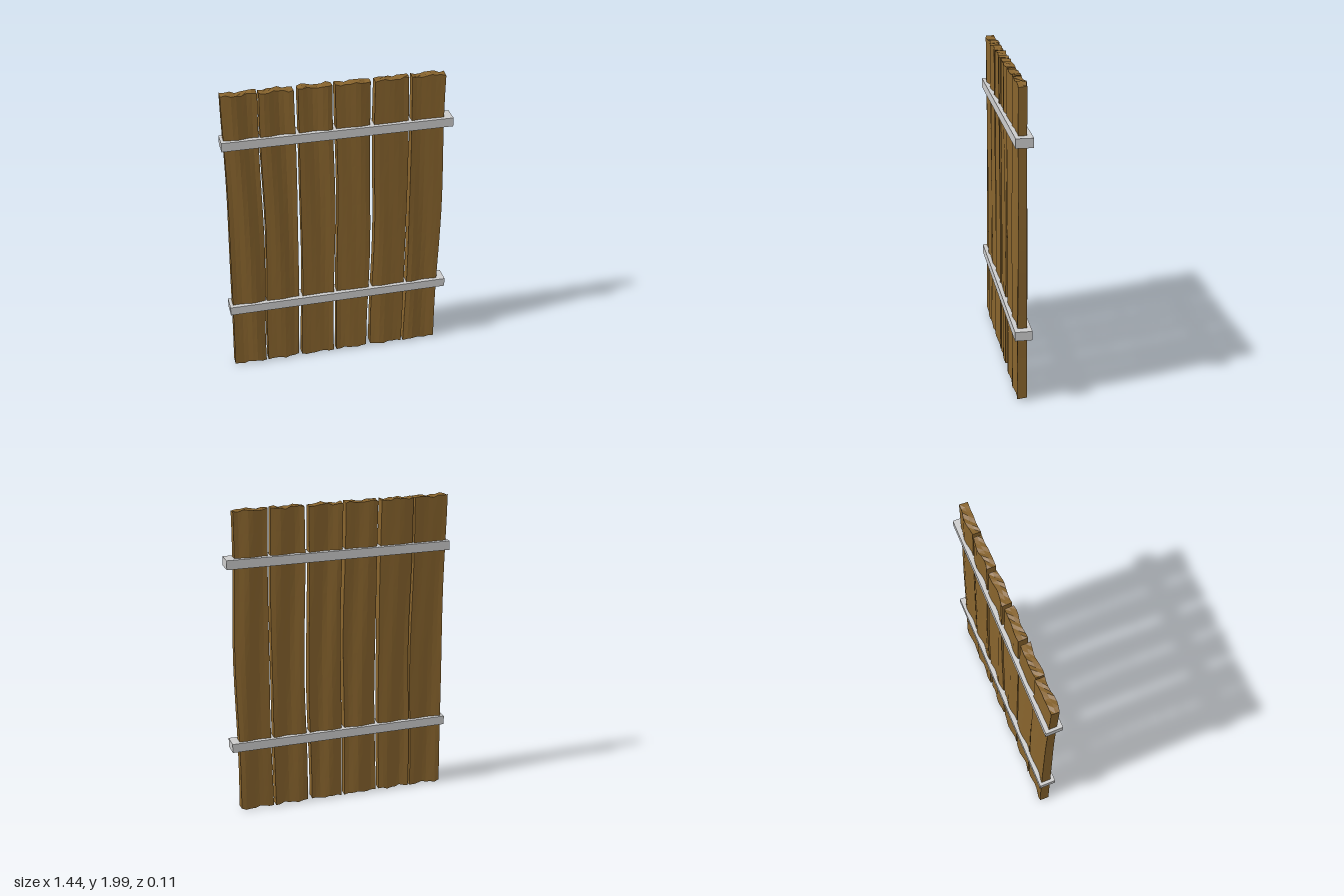
import * as THREE from 'three';

const wood = new THREE.MeshStandardMaterial({ color: 0x88642d, flatShading: true });
const metal = new THREE.MeshStandardMaterial({ color: 0xcccccc, flatShading: true });

// Left and right edge of each plank
const planks = [
  [-0.70, -0.486], [-0.475, -0.266], [-0.243, -0.030],
  [-0.010, 0.201], [0.229, 0.443], [0.460, 0.672],
];

// Rough-hewn plank: a subdivided box with warped sides and chipped ends
function makePlank(x0, x1, seed) {
  const width = x1 - x0, height = 1.968, depth = 0.056;
  const geometry = new THREE.BoxGeometry(width, height, depth, 7, 14, 2);
  const p = geometry.attributes.position;
  for (let i = 0; i < p.count; i++) {
    const x = p.getX(i), y = p.getY(i), z = p.getZ(i);
    const u = (2 * x) / width, v = (2 * y) / height, w = (2 * z) / depth;
    // Gentle bow plus a little waviness along both long edges
    const dx = 0.006 * Math.cos(Math.PI * v) + 0.003 * u * Math.sin(5 * v + seed * 2.3);
    // Uneven faces, varying across the width and slowly along the length
    const dz = 0.004 * Math.sin(3.1 * u + seed * 1.7 + v) + 0.003 * w * Math.sin(4.3 * u + 2 * v + seed);
    // Jagged end grain
    const chip = 0.005 * Math.sin(4.6 * u + seed * 2.9 + v * 2) + 0.004 * Math.sin(9.7 * u + 1.8 * w + seed);
    const dy = Math.abs(v) > 0.99 ? chip : 0;
    p.setXYZ(i, x + dx, y + dy, z + dz);
  }
  geometry.computeVertexNormals();
  const mesh = new THREE.Mesh(geometry, wood);
  mesh.position.set((x0 + x1) / 2, 1.004, 0);
  return mesh;
}

export function createModel() {
  const group = new THREE.Group();
  group.name = 'plankPanel';

  planks.forEach(([x0, x1], i) => {
    const plank = makePlank(x0, x1, i + 1);
    plank.name = `plank${i + 1}`;
    group.add(plank);
  });

  // Two straps running through all the planks
  for (const [name, y] of [['lowerStrap', 0.47], ['upperStrap', 1.67]]) {
    const strap = new THREE.Mesh(new THREE.BoxGeometry(1.44, 0.058, 0.106), metal);
    strap.name = name;
    strap.position.y = y;
    group.add(strap);
  }
  return group;
}
